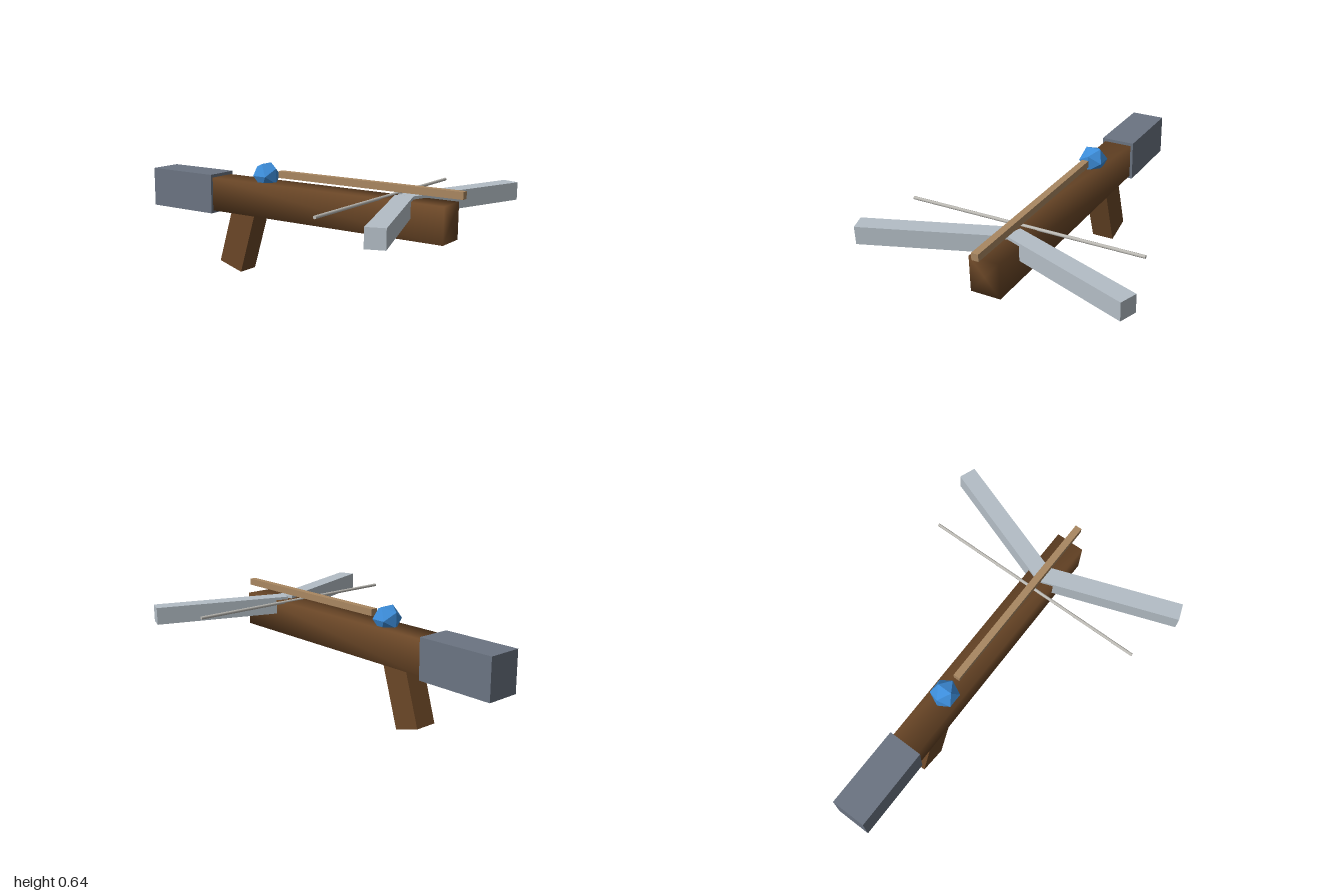
import * as THREE from 'three';
import { mergeVertices } from 'three/addons/utils/BufferGeometryUtils.js';

const material = (name, color, flatShading = false) =>
  Object.assign(new THREE.MeshStandardMaterial({ color }), { name, flatShading });

export function createModel() {
  const wood = material('dark wood', 0x6b4727);
  const paleWood = material('pale wood', 0xa98761);
  const iron = material('stock grey', 0x6b7482);
  const steel = material('limb steel', 0xb4bec6);
  const cord = material('cord', 0xbdbbb5);
  const crystal = material('blue crystal', 0x3d8edb, true);

  const model = new THREE.Group();
  model.name = 'crossbow';
  const add = (name, geometry, mat, x, y, z) => {
    const mesh = new THREE.Mesh(geometry, mat);
    mesh.name = name;
    mesh.position.set(x, y, z);
    model.add(mesh);
    return mesh;
  };

  // Four-sided tiller with shared corner normals, so it shades softly
  let tiller = new THREE.CylinderGeometry(Math.SQRT1_2, Math.SQRT1_2, 1, 4);
  tiller.rotateY(Math.PI / 4).rotateX(Math.PI / 2).scale(0.163, 0.193, 1.49);
  tiller.deleteAttribute('uv');
  tiller.deleteAttribute('normal');
  tiller = mergeVertices(tiller, 1e-4);
  tiller.computeVertexNormals();
  add('tiller', tiller, wood, 0, 0.445, 0.187);

  // Stock block and slanted grip
  add('stock', new THREE.BoxGeometry(0.194, 0.227, 0.456), iron, 0, 0.446, -0.772);
  const grip = add('grip', new THREE.BoxGeometry(0.13, 0.4, 0.161), wood, 0, 0.219, -0.3745);
  grip.rotation.x = 0.29;

  // Bolt above the tiller
  add('bolt', new THREE.BoxGeometry(0.038, 0.038, 1.112), paleWood, 0, 0.592, 0.444);

  // Forward-swept limbs, mirrored
  const sweep = 0.349, length = 0.775;
  for (const side of [1, -1]) {
    const limb = add(side > 0 ? 'leftLimb' : 'rightLimb',
      new THREE.BoxGeometry(length, 0.097, 0.097), steel,
      side * (0.728 - Math.cos(sweep) * length / 2), 0.509,
      0.935 - Math.sin(sweep) * length / 2);
    limb.rotation.y = -side * sweep;
  }

  // Bowstring
  const string = add('bowstring', new THREE.CylinderGeometry(0.009, 0.009, 1.306, 8), cord, 0, 0.543, 0.572);
  string.rotation.z = Math.PI / 2;

  // Faceted crystal
  add('crystal', new THREE.IcosahedronGeometry(0.08, 0), crystal, 0, 0.577, -0.212);

  return model;
}
